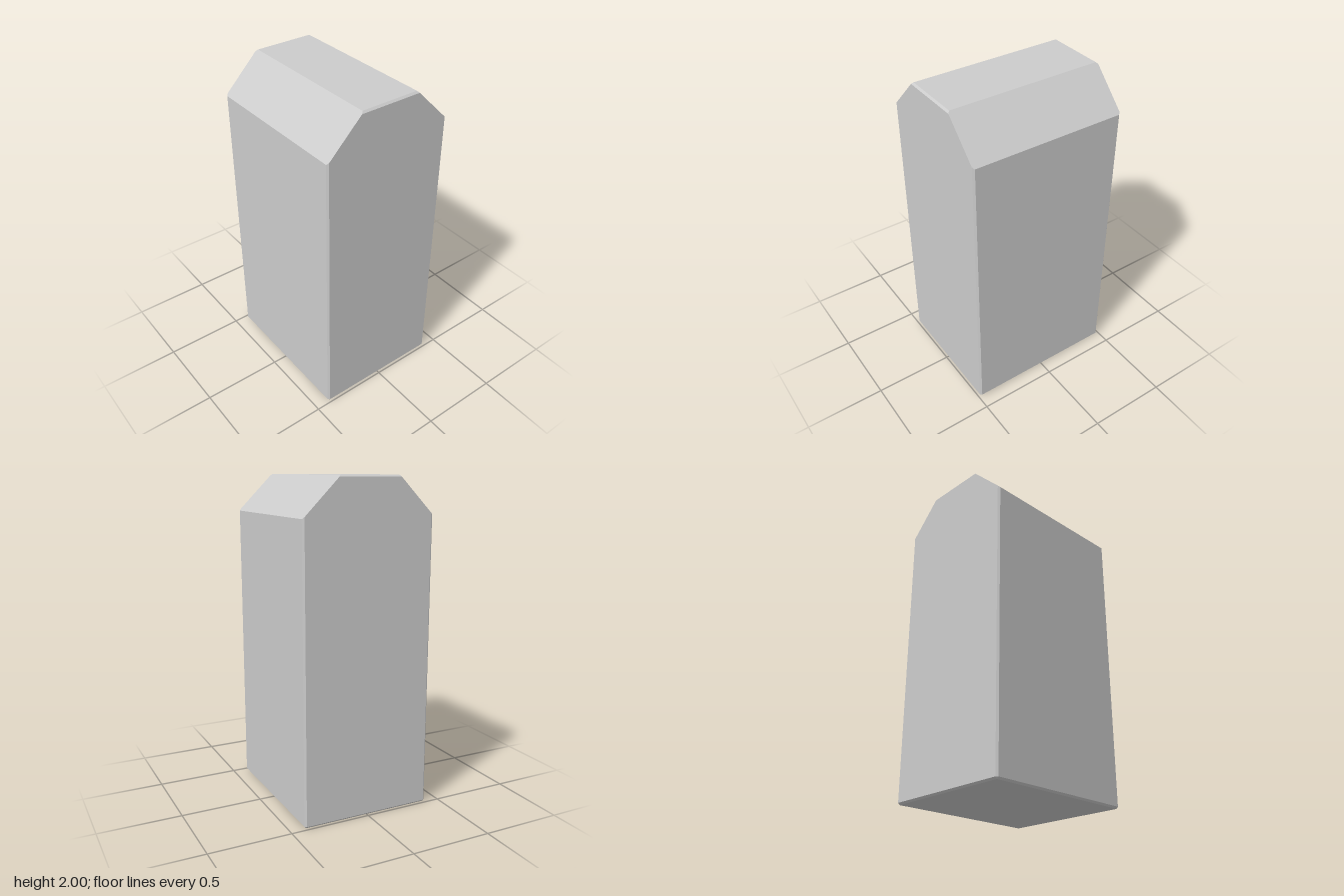
import * as THREE from 'three';
import { ConvexGeometry } from 'three/addons/geometries/ConvexGeometry.js';

const W = 0.488, D = 0.411, H = 2; // half width, half depth, height
const B = 0.011;                   // small edge bevel
const SLOPE = 2.183;               // sloped shoulders lie on y + |z| = SLOPE

export function createModel() {
  const group = new THREE.Group();
  group.name = 'block';

  // half profile (z, y) of the side faces, inset by the bevel
  const side = [[D - B, B], [D - B, SLOPE - D + B], [SLOPE - H + B, H - B]];
  // half profile of the full section, just inside the side faces
  const core = [[D - B, 0], [D, B], [D, SLOPE - D], [SLOPE - H, H]];

  // mirror both profiles to every corner and wrap them in flat faces
  const points = [];
  for (const sx of [-1, 1]) {
    for (const sz of [-1, 1]) {
      for (const [z, y] of side) points.push(new THREE.Vector3(sx * W, y, sz * z));
      for (const [z, y] of core) points.push(new THREE.Vector3(sx * (W - B), y, sz * z));
    }
  }

  const body = new THREE.Mesh(
    new ConvexGeometry(points),
    new THREE.MeshStandardMaterial({ color: 0xcccccc, flatShading: true })
  );
  body.name = 'body';
  group.add(body);
  return group;
}
